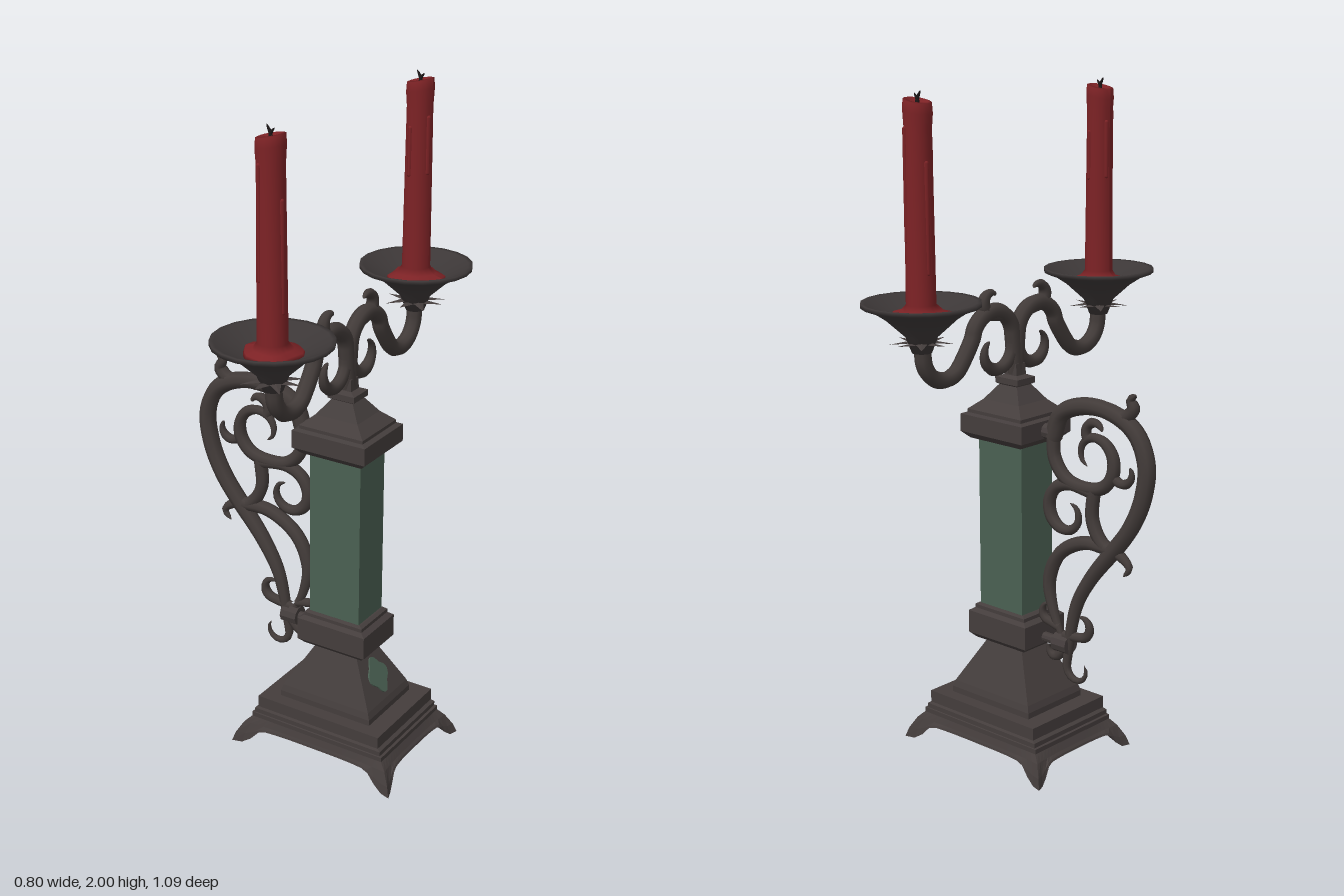
import * as THREE from 'three';

const mat = (name, color, options = {}) => {
  const m = new THREE.MeshStandardMaterial({ color, ...options });
  m.name = name;
  return m;
};

// Rectangular loop; flare pushes the corners out, arch lifts the middle of each side
function rectLoop(hx, hz, y, n = 1, flare = 0, arch = 0) {
  const pts = [];
  for (let k = 0; k < 4; k++) for (let i = 0; i < n; i++) {
    const s = -1 + (2 * i) / n, a = Math.abs(s);
    const X = hx + flare * a ** 4, Z = hz + flare * a ** 4;
    const [x, z] = [[X, -s * Z], [-s * X, -Z], [-X, s * Z], [s * X, Z]][k];
    pts.push(new THREE.Vector3(x, y + arch * (1 - THREE.MathUtils.smoothstep(a, 0.7, 0.92)), z));
  }
  return pts;
}

// Flat-faced skin through loops of equal length, closed at both ends
function loft(loops) {
  const v = [], n = loops[0].length;
  const tri = (...p) => p.forEach((q) => v.push(q.x, q.y, q.z));
  const centre = (loop) => {
    const c = loop.reduce((s, p) => s.add(p), new THREE.Vector3()).divideScalar(n);
    return loop.map(() => c);
  };
  const all = [centre(loops[0]), ...loops, centre(loops[loops.length - 1])];
  for (let r = 0; r + 1 < all.length; r++) for (let i = 0; i < n; i++) {
    const j = (i + 1) % n, lo = all[r], up = all[r + 1];
    if (r > 0) tri(lo[i], lo[j], up[j]);
    if (r < all.length - 2) tri(lo[i], up[j], up[i]);
  }
  const g = new THREE.BufferGeometry();
  g.setAttribute('position', new THREE.Float32BufferAttribute(v, 3));
  g.computeVertexNormals();
  return g;
}
// Rectangular moulding from [half width, height] rows with a fixed depth ratio
const moulding = (ratio, rows) => loft(rows.map(([w, y]) => rectLoop(w, w * ratio, y)));

// Points along a spiral; angles are given in turns
const spiral = (cx, cy, r0, r1, t0, t1) => Array.from({ length: 10 }, (_, i) => {
  const k = i / 9, a = (t0 + (t1 - t0) * k) * Math.PI * 2, r = r0 + (r1 - r0) * k;
  return [cx + r * Math.cos(a), cy + r * Math.sin(a)];
});

// Tube in the xy plane that narrows toward its far end
function scroll(points, radius, taper = true) {
  const curve = new THREE.CatmullRomCurve3(points.map(([x, y]) => new THREE.Vector3(x, y, 0)), false, 'centripetal');
  const T = points.length * 4, R = 8;
  const g = new THREE.TubeGeometry(curve, T, radius, R, false);
  const pos = g.attributes.position, v = new THREE.Vector3();
  for (let k = 0; taper && k < pos.count; k++) {
    const t = Math.floor(k / (R + 1)) / T, c = curve.getPointAt(t);
    v.fromBufferAttribute(pos, k).sub(c).multiplyScalar(Math.min(1, 0.02 + Math.sqrt((1 - t) * 2.2))).add(c);
    pos.setXYZ(k, v.x, v.y, v.z);
  }
  return g;
}

const lathe = (pts, seg) => new THREE.LatheGeometry(pts.map((p) => new THREE.Vector2(...p)), seg);

export function createModel() {
  const root = new THREE.Group();
  root.name = 'candelabrum';
  const iron = mat('iron', 0x443d3c, { flatShading: true });
  const scrollIron = mat('scroll iron', 0x423b39);
  const dishIron = mat('dish iron', 0x3c3737, { side: THREE.DoubleSide });
  const shade = mat('underside iron', 0x2e2a28, { flatShading: true });
  const green = mat('green stone', 0x4a6052, { flatShading: true });
  const wax = mat('red wax', 0x7c2225);
  const black = mat('wick black', 0x1c1717);
  const add = (parent, name, geo, m) => {
    const mesh = new THREE.Mesh(geo, m);
    mesh.name = name;
    parent.add(mesh);
    return mesh;
  };
  const group = (parent, name) => {
    const g = new THREE.Group();
    g.name = name;
    parent.add(g);
    return g;
  };

  const body = group(root, 'body');
  body.position.x = 0.12;

  // Footed base: arched flaring skirt, then three shrinking steps
  const baseLoop = (w, y, flare = 0, arch = 0) => rectLoop(w, 0.054 + w / 2, y, 24, flare, arch);
  const steps = [[0.23, 0.085], [0.222, 0.1], [0.212, 0.12]].flatMap(([w, y], i) =>
    [baseLoop(w, y), baseLoop(w, i < 2 ? y + 0.014 : 0.157)]);
  add(body, 'base', loft([baseLoop(0.24, 0.055), baseLoop(0.25, 0, 0.03, 0.052),
    baseLoop(0.248, 0.03, 0.022, 0.028), baseLoop(0.242, 0.065, 0.008), ...steps]), iron);
  add(body, 'baseUnderside', new THREE.BoxGeometry(0.46, 0.006, 0.31), shade).position.y = 0.05;

  // Tapered pedestal, lower collar, stone column and stepped cap
  add(body, 'pedestal', moulding(0.76, [[0.157, 0.156], [0.157, 0.175], [0.15, 0.195], [0.07, 0.335], [0.085, 0.345]]), iron);
  add(body, 'lowerCollar', moulding(0.75, [[0.098, 0.34], [0.116, 0.355], [0.116, 0.425],
    [0.1, 0.435], [0.1, 0.446], [0.09, 0.452]]), iron);
  add(body, 'column', moulding(0.78, [[0.085, 0.45], [0.085, 0.98]]), green);
  add(body, 'cap', moulding(0.87, [[0.1, 0.972], [0.122, 0.992], [0.122, 1.045], [0.106, 1.05], [0.106, 1.06],
    [0.07, 1.09], [0.035, 1.135], [0.044, 1.14], [0.044, 1.158], [0.024, 1.165], [0.022, 1.2]]), iron);

  // Lobed inlay on the sloping left face of the pedestal
  const outline = Array.from({ length: 40 }, (_, i) => {
    const a = (i / 40) * Math.PI * 2, r = 0.042 * (1 + 0.14 * Math.cos(4 * a));
    return new THREE.Vector2(r * Math.cos(a), 1.2 * r * Math.sin(a));
  });
  const inlay = add(body, 'inlay',
    new THREE.ExtrudeGeometry(new THREE.Shape(outline), { depth: 0.006, bevelEnabled: false }), green);
  inlay.rotation.order = 'YXZ';
  inlay.rotation.set(-Math.atan2(0.08, 0.14), Math.PI / 2, 0);
  inlay.position.set(0.1125, 0.258, 0);

  // Two mirrored arms, each with a dish and a candle
  for (const s of [1, -1]) {
    const arm = group(body, s > 0 ? 'frontArm' : 'backArm');
    arm.rotation.y = -s * Math.PI / 2;
    add(arm, 'armScroll', scroll([[0.376, 1.32], ...spiral(0.29, 1.28, 0.083, 0.083, 0, -0.36),
      ...spiral(0.095, 1.28, 0.085, 0.085, 0.03, 0.5), [0, 1.17]], 0.024, false), scrollIron);
    add(arm, 'armCurl', scroll(spiral(0.085, 1.25, 0.075, 0.035, 0.46, 1.15), 0.019), scrollIron);
    add(arm, 'armLeaf', scroll([[0.06, 1.35], ...spiral(0.1, 1.39, 0.032, 0.028, -0.2, 0.38)], 0.019), scrollIron);

    const holder = group(arm, 'candleHolder');
    holder.position.x = 0.376;
    add(holder, 'dish', lathe([[0, 1.29], [0.028, 1.29], [0.045, 1.335], [0.1, 1.385], [0.135, 1.408],
      [0.167, 1.42], [0.167, 1.432], [0.155, 1.43], [0.07, 1.385], [0, 1.38]], 20), dishIron);

    // Ring of pointed leaves under the dish
    for (let i = 0; i < 8; i++) {
      const g = new THREE.ConeGeometry(0.024, 0.085, 4);
      g.scale(1, 1, 0.25).rotateX(Math.PI / 2 + (i % 2 ? 0.12 : -0.06)).translate(0, 1.318, 0.048);
      add(holder, 'leaf', g.rotateY((i * Math.PI) / 4), iron);
    }

    // Candle with uneven wax pool and slanted, hollowed top
    const g = lathe([[0, 1.38], [0.084, 1.387], [0.078, 1.4], [0.055, 1.407], [0.042, 1.425], [0.038, 1.9],
      [0.041, 1.945], [0.039, 1.972], [0.031, 1.974], [0.024, 1.958], [0, 1.952]], 18);
    const pos = g.attributes.position;
    for (let i = 0; i < pos.count; i++) {
      const x = pos.getX(i), y = pos.getY(i), z = pos.getZ(i);
      const a = Math.atan2(z, x) + s;
      const f = y < 1.41 ? 1 + 0.09 * Math.sin(a * 3) + 0.06 * Math.sin(a * 5) : 1;
      pos.setXYZ(i, x * f, y > 1.93 ? y - 0.2 * s * z : y, z * f);
    }
    g.computeVertexNormals();
    add(holder, 'candle', g, wax);
    for (let i = 0; i < 4; i++) {
      const a = 0.4 + 1.5 * i, len = 0.2 + 0.1 * Math.cos(i * 2);
      const drip = new THREE.CapsuleGeometry(0.007, len, 3, 6);
      add(holder, 'waxDrip', drip.translate(0.037 * Math.cos(a), 1.9 - len / 2 - 0.03 * i, 0.037 * Math.sin(a)), wax);
    }
    for (const [name, side, top] of [['wick', -1, 1.999], ['wickSplit', 1, 1.992]]) {
      const wick = add(holder, name, scroll([[0, 1.95], [0, 1.975], [side * 0.012, top]], 0.005), black);
      wick.rotation.y = s * Math.PI / 2;
    }
  }

  // Scrollwork handle on the right side
  const handle = group(root, 'handle');
  const strand = (name, radius, points) => add(handle, name, scroll(points, radius), scrollIron);
  strand('handleSpine', 0.026, [[-0.03, 1], [-0.06, 1.075], [-0.15, 1.113], [-0.255, 1.108], [-0.335, 1.065],
    [-0.373, 0.985], [-0.365, 0.89], [-0.32, 0.785], [-0.175, 0.6], [-0.12, 0.5],
    ...spiral(-0.125, 0.305, 0.042, 0.032, 0.05, -0.6)]);
  strand('topLeaf', 0.02, [[-0.25, 1.105], [-0.3, 1.108], [-0.325, 1.135], [-0.315, 1.158], [-0.335, 1.175]]);
  strand('upperSpiral', 0.02, [[-0.03, 1.01], [-0.035, 0.94], [-0.08, 0.885],
    ...spiral(-0.18, 0.965, 0.095, 0.035, -0.22, -1.15)]);
  strand('spiralCurl', 0.015, spiral(-0.188, 1.04, 0.036, 0.026, -0.1, 0.45));
  strand('sideCurl', 0.014, spiral(-0.29, 0.945, 0.04, 0.03, 0, -0.6));
  strand('middleScroll', 0.019, [[-0.19, 0.86], ...spiral(-0.085, 0.785, 0.085, 0.03, 0.25, -0.7)]);
  strand('link', 0.02, [[-0.185, 0.875], [-0.18, 0.78], [-0.22, 0.715], [-0.285, 0.695], [-0.318, 0.665], [-0.295, 0.635]]);
  strand('lowerScroll', 0.021, [[-0.26, 0.705], [-0.15, 0.705], [-0.055, 0.65], [-0.015, 0.56], [-0.03, 0.47], [-0.08, 0.36]]);
  strand('lowerCurl', 0.015, [[-0.075, 0.4], ...spiral(-0.14, 0.445, 0.037, 0.025, -0.25, -0.8)]);
  strand('lowerTip', 0.014, [[-0.055, 0.42], ...spiral(-0.015, 0.46, 0.03, 0.025, -0.25, 0.2)]);
  strand('bottomTip', 0.015, [[-0.08, 0.36], ...spiral(-0.035, 0.35, 0.026, 0.022, -0.4, 0.05)]);

  // Clasp and mounting bars
  const bar = (name, r, length, x, y) => add(handle, name,
    new THREE.CylinderGeometry(r, r, length, 10).rotateZ(Math.PI / 2).translate(x, y, 0), iron);
  bar('clasp', 0.03, 0.055, -0.072, 0.375);
  bar('lowerMount', 0.015, 0.08, -0.02, 0.375);
  bar('upperMount', 0.024, 0.05, -0.015, 1.015);
  return root;
}
